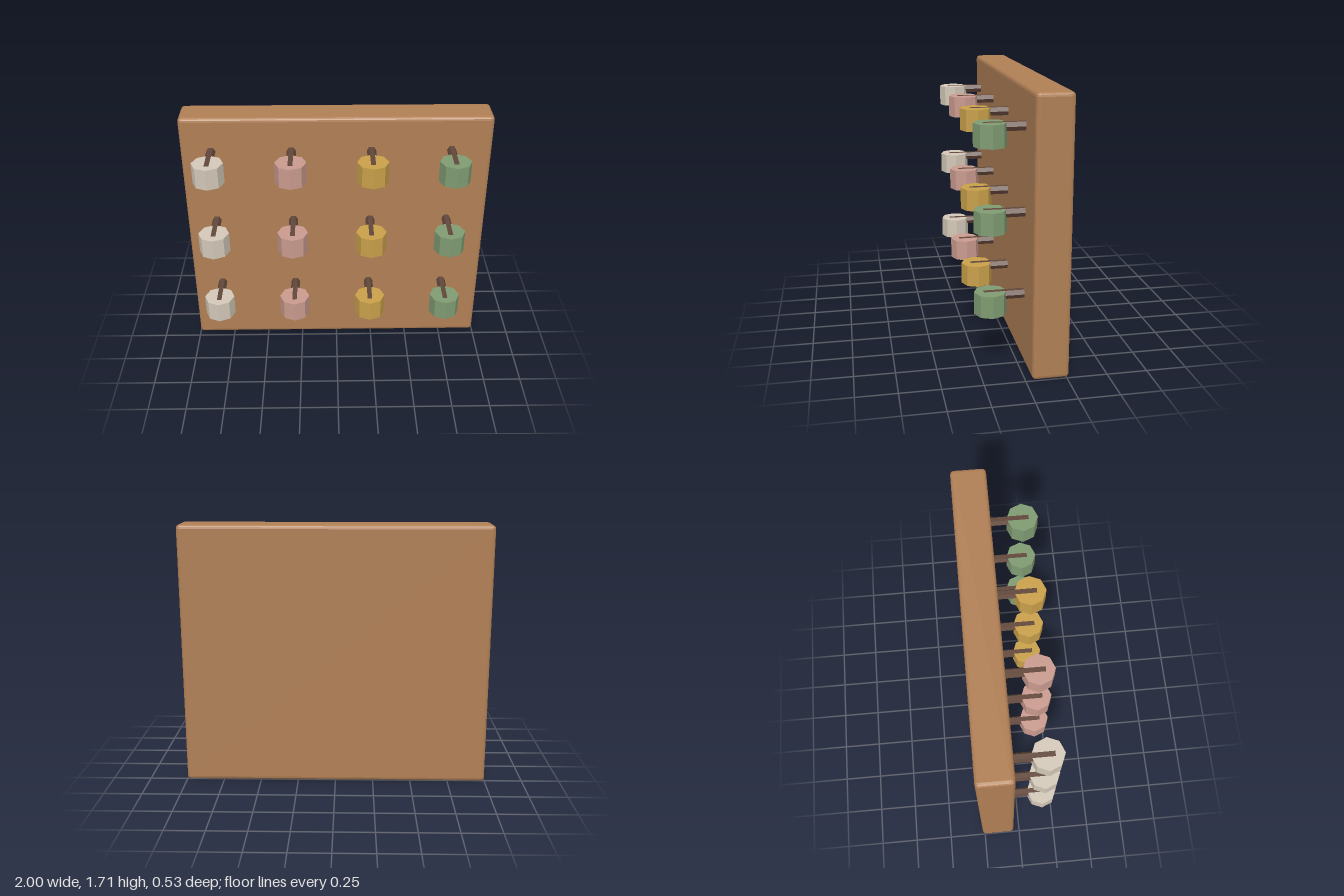
import * as THREE from 'three';
import { RoundedBoxGeometry } from 'three/addons/geometries/RoundedBoxGeometry.js';

const material = (color) => new THREE.MeshStandardMaterial({ color, flatShading: true });

export function createModel() {
  const group = new THREE.Group();
  group.name = 'spoolRack';

  const add = (name, geometry, mat, x, y, z) => {
    const mesh = new THREE.Mesh(geometry, mat);
    mesh.name = name;
    mesh.position.set(x, y, z);
    group.add(mesh);
  };

  // Thick back board with softened edges
  add('backBoard', new RoundedBoxGeometry(2, 1.71, 0.225, 2, 0.025), material(0xb07f55), 0, 0.855, -0.153);

  // Hexagonal pegs, flat side up, each carrying an eight-sided spool
  const pegGeometry = new THREE.CylinderGeometry(0.03, 0.03, 0.3, 6);
  pegGeometry.rotateY(Math.PI / 2).rotateX(Math.PI / 2);
  const spoolGeometry = new THREE.CylinderGeometry(0.1, 0.1, 0.138, 8);
  const pegMaterial = material(0x62473a);
  const spoolMaterials = [0xd3c8b8, 0xc99a8e, 0xc9a04a, 0x7f9b72].map(material);

  spoolMaterials.forEach((spoolMaterial, column) => {
    const x = -0.803 + column * 0.514;
    for (let row = 0; row < 3; row++) {
      const y = 0.412 + row * 0.514;
      add('spool', spoolGeometry, spoolMaterial, x, y, 0.166);
      // Peg top sits just proud of the spool top
      add('peg', pegGeometry, pegMaterial, x, y + 0.044, 0.057);
    }
  });

  return group;
}
